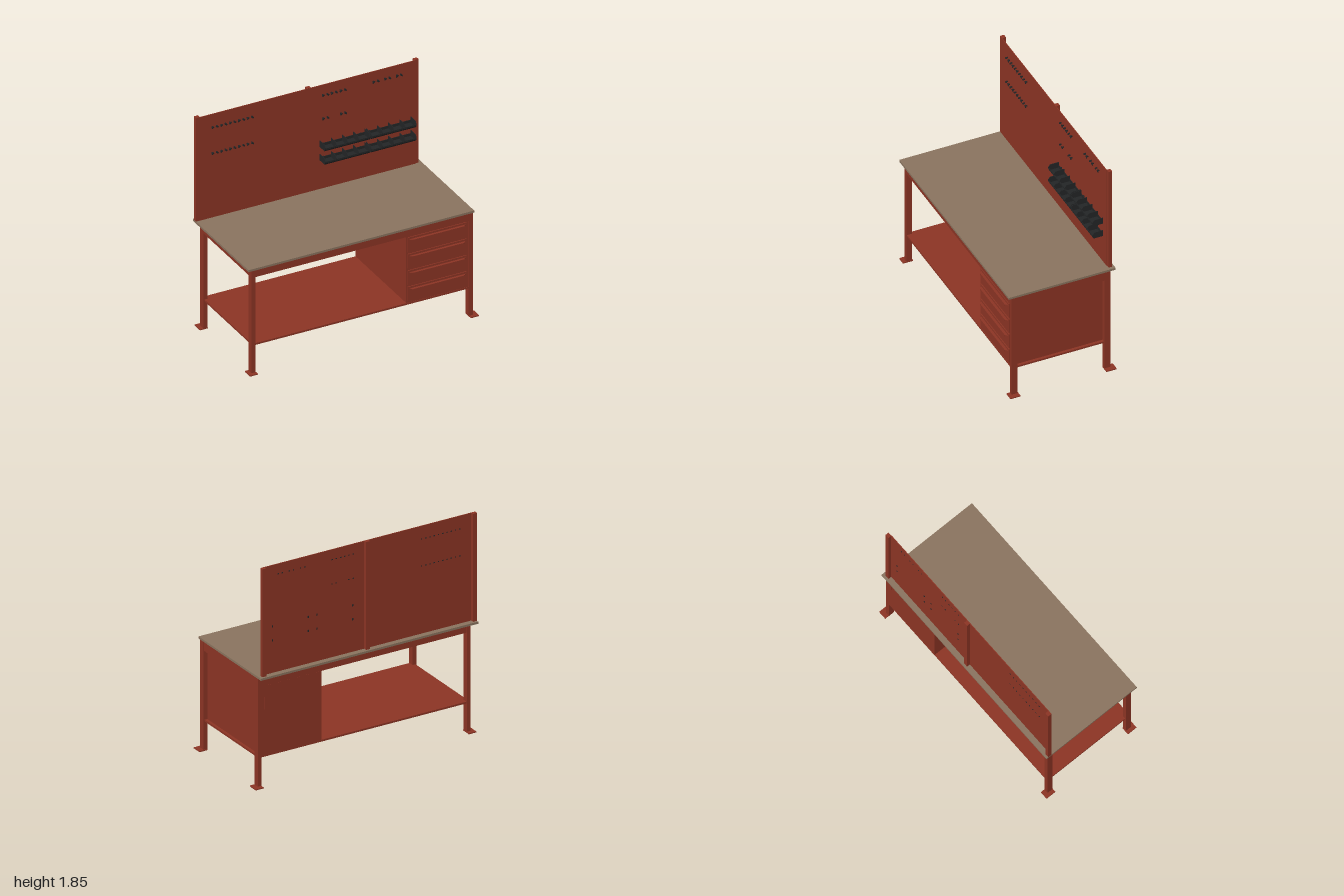
import * as THREE from 'three';

export function createModel() {
  const bench = new THREE.Group();
  bench.name = 'workbench';
  const red = new THREE.MeshStandardMaterial({ color: 0x8c3424 });
  red.name = 'rust red paint';
  const tan = new THREE.MeshStandardMaterial({ color: 0x8a745f });
  tan.name = 'tan worktop';
  const black = new THREE.MeshStandardMaterial({ color: 0x232526 });
  black.name = 'black plastic';

  const add = (name, geometry, material, parent = bench) => {
    const mesh = new THREE.Mesh(geometry, material);
    mesh.name = name;
    parent.add(mesh);
    return mesh;
  };
  // Box given by its limits along each axis
  const box = (name, mat, x0, x1, y0, y1, z0, z1, parent) => {
    const mesh = add(name, new THREE.BoxGeometry(x1 - x0, y1 - y0, z1 - z0), mat, parent);
    mesh.position.set((x0 + x1) / 2, (y0 + y1) / 2, (z0 + z1) / 2);
    return mesh;
  };

  // Worktop and lower shelf
  box('worktop', tan, -1, 0.96, 0.92, 0.938, -0.455, 0.45);
  box('shelf', red, -0.95, 0.95, 0.245, 0.26, -0.405, 0.42);

  // Legs with foot plates
  for (const [x0, x1, f0, f1] of [[-0.96, -0.925, -0.99, -0.922], [0.925, 0.96, 0.928, 1]]) {
    for (const [z0, z1, p0, p1] of [[0.376, 0.426, 0.37, 0.455], [-0.41, -0.36, -0.445, -0.358]]) {
      box('leg', red, x0, x1, 0.008, 0.92, z0, z1);
      box('footPlate', red, f0, f1, 0, 0.008, p0, p1);
    }
  }

  // Apron frame under the worktop
  box('frontApron', red, -0.925, 0.925, 0.845, 0.92, 0.395, 0.424);
  box('backApron', red, -0.925, 0.925, 0.845, 0.92, -0.408, -0.38);
  box('leftApron', red, 0.93, 0.958, 0.845, 0.92, -0.36, 0.376);
  box('rightApron', red, -0.958, -0.93, 0.845, 0.92, -0.36, 0.376);

  // Drawer cabinet with a small latch strip on the back
  box('cabinet', red, 0.387, 0.926, 0.26, 0.845, -0.409, 0.417);
  box('backLatch', red, 0.896, 0.904, 0.65, 0.745, -0.414, -0.409);

  // Drawer fronts with tapered pull handles
  for (const [y0, y1] of [[0.705, 0.836], [0.562, 0.69], [0.418, 0.545], [0.278, 0.402]]) {
    const drawer = new THREE.Group();
    drawer.name = 'drawer';
    bench.add(drawer);
    box('drawerFront', red, 0.398, 0.908, y0, y1, 0.417, 0.425, drawer);
    const pull = new THREE.Shape([
      new THREE.Vector2(0.41, 0.424), new THREE.Vector2(0.9, 0.424),
      new THREE.Vector2(0.875, 0.446), new THREE.Vector2(0.435, 0.446),
    ]);
    const pullGeo = new THREE.ExtrudeGeometry(pull, { depth: 0.004, bevelEnabled: false });
    pullGeo.rotateX(Math.PI / 2);
    add('pull', pullGeo, red, drawer).position.y = y1 - 0.016;
    box('pullLip', red, 0.435, 0.875, y1 - 0.032, y1 - 0.018, 0.443, 0.446, drawer);
  }

  // Back panel and its three posts
  box('backPanel', red, -1, 0.902, 0.938, 1.848, -0.409, -0.403);
  for (const x of [-1, -0.035, 0.9]) box('post', red, x, x + 0.035, 0.938, 1.85, -0.437, -0.407);

  // Tool hooks: slanted tip on a peg that passes through the panel
  const hook = (x, y, tilt) => {
    const g = new THREE.Group();
    g.name = 'hook';
    g.position.set(x, y, 0);
    bench.add(g);
    box('peg', black, -0.005, 0.005, -0.001, 0.007, -0.412, -0.388, g);
    box('tip', black, -0.011, 0.011, -0.006, 0.006, -0.392, -0.386, g).rotation.z = tilt * 0.6;
  };
  for (const y of [1.735, 1.507]) {
    for (let i = 0; i < 10; i++) hook(-0.861 + i * 0.0383, y, i % 2 ? -1 : 1);
  }
  const hookRows = [
    [1.76, [0.1, 0.138, 0.175, 0.212, 0.252, 0.29, 0.537, 0.575, 0.638, 0.676, 0.74, 0.776]],
    [1.555, [0.1, 0.14, 0.255, 0.292]],
  ];
  for (const [y, xs] of hookRows) xs.forEach((x, i) => hook(x, y, i % 2 ? -1 : 1));

  // Parts bins: two rows of two trays, four compartments each
  const side = new THREE.Shape([
    [0.395, 0], [0.395, 0.054], [0.32, 0.054], [0.305, 0.034], [0.305, 0.02], [0.317, 0],
  ].map(([z, y]) => new THREE.Vector2(z, y)));
  const sideGeo = new THREE.ExtrudeGeometry(side, { depth: 0.005, bevelEnabled: false });
  sideGeo.rotateY(Math.PI / 2);
  for (const y of [1.315, 1.197]) {
    for (const x0 of [0.069, 0.47]) {
      const tray = new THREE.Group();
      tray.name = 'binTray';
      tray.position.set(x0, y, 0);
      bench.add(tray);
      const w = 0.393;
      box('trayFloor', black, 0, w, 0, 0.005, -0.395, -0.317, tray);
      box('trayBack', black, 0, w, 0, 0.027, -0.395, -0.391, tray);
      box('trayLip', black, 0, w, 0.014, 0.027, -0.311, -0.306, tray);
      const slope = box('traySlope', black, 0, w, 0, 0.02, -0.314, -0.31, tray);
      slope.rotation.x = 0.5;
      for (let i = 0; i < 5; i++) {
        add('divider', sideGeo, black, tray).position.x = i * (w - 0.005) / 4;
      }
      for (const x of [0.03, w - 0.04]) box('mount', black, x, x + 0.01, 0.008, 0.025, -0.412, -0.394, tray);
    }
  }
  return bench;
}
